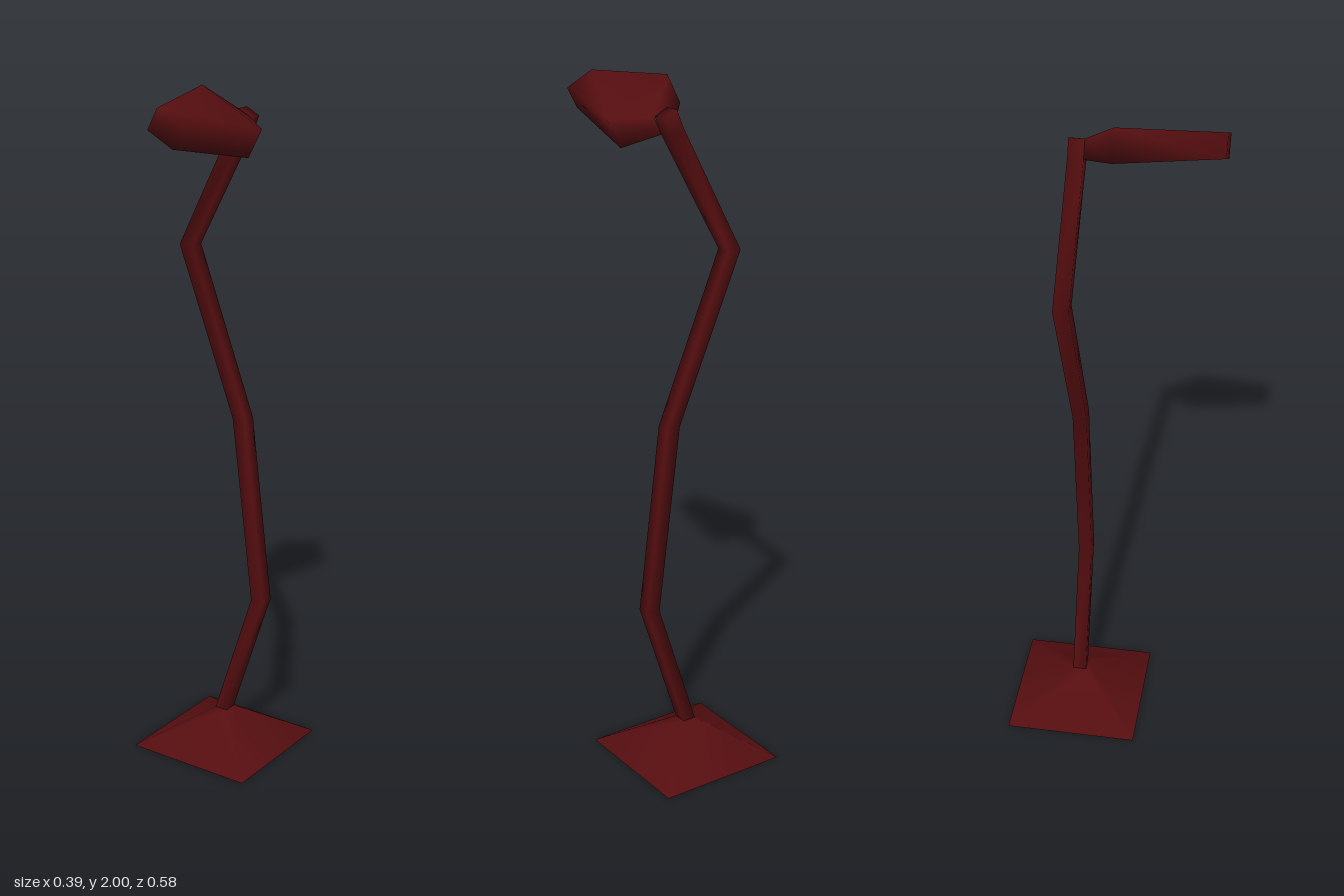
import * as THREE from 'three';

const darkRed = new THREE.MeshStandardMaterial({ color: 0x560e10 });
darkRed.name = 'darkRed';

// Skin a list of four-cornered rings (counter-clockwise seen from the far end), smooth shaded
function loft(name, rings, capEnd) {
  const index = [];
  for (let r = 0; r < rings.length - 1; r++) {
    for (let i = 0; i < 4; i++) {
      const j = (i + 1) % 4;
      const a = r * 4 + i, b = r * 4 + j;
      index.push(a, b, b + 4, a, b + 4, a + 4);
    }
  }
  const e = (rings.length - 1) * 4;
  if (capEnd) index.push(e, e + 1, e + 2, e, e + 2, e + 3);
  const geometry = new THREE.BufferGeometry();
  geometry.setAttribute('position', new THREE.Float32BufferAttribute(rings.flat(2), 3));
  geometry.setIndex(index);
  geometry.computeVertexNormals();
  const mesh = new THREE.Mesh(geometry, darkRed);
  mesh.name = name;
  return mesh;
}

// Ring across the stem; the left and right edges may sit at different heights
const stemRing = (xL, yL, xR, yR, zFront, zBack) => [
  [xR, yR, zFront], [xR, yR, zBack], [xL, yL, zBack], [xL, yL, zFront],
];

// Ring across the head: a rectangle tilted about z
const tilt = -0.484;
const headRing = (cx, cy, z, halfW, halfH) =>
  [[1, 1], [-1, 1], [-1, -1], [1, -1]].map(([sx, sy]) => {
    const u = sx * halfW, v = sy * halfH;
    const c = Math.cos(tilt), s = Math.sin(tilt);
    return [cx + u * c - v * s, cy + u * s + v * c, z];
  });

export function createModel() {
  const group = new THREE.Group();
  group.name = 'bentLamp';

  // Pyramid foot
  group.add(loft('base', [
    stemRing(-0.196, 0, 0.196, 0, 0.1, -0.292),
    stemRing(-0.02, 0.11, 0.02, 0.11, -0.076, -0.116),
  ], false));

  // Flat underside of the foot
  const underside = new THREE.Mesh(new THREE.PlaneGeometry(0.392, 0.392), darkRed);
  underside.name = 'baseUnderside';
  underside.rotation.x = Math.PI / 2;
  underside.position.set(0, 0, -0.096);
  group.add(underside);

  // Crooked stem
  group.add(loft('stem', [
    stemRing(-0.02, 0.11, 0.02, 0.11, -0.076, -0.116),
    stemRing(0.106, 0.5, 0.148, 0.5, -0.076, -0.116),
    stemRing(0.037, 1.05, 0.08, 1.05, -0.076, -0.116),
    stemRing(-0.154, 1.53, -0.111, 1.53, -0.086, -0.13),
    stemRing(0.03, 1.885, 0.07, 1.862, -0.075, -0.118),
    stemRing(0.05, 1.932, 0.09, 1.911, -0.075, -0.118),
  ], true));

  // Lamp head: flares from the stem, then narrows to the front
  group.add(loft('lampHead', [
    headRing(0.06, 1.897, -0.075, 0.023, 0.027),
    headRing(0.067, 1.91, 0.01, 0.108, 0.045),
    headRing(0.076, 1.929, 0.292, 0.045, 0.033),
  ], true));

  return group;
}
